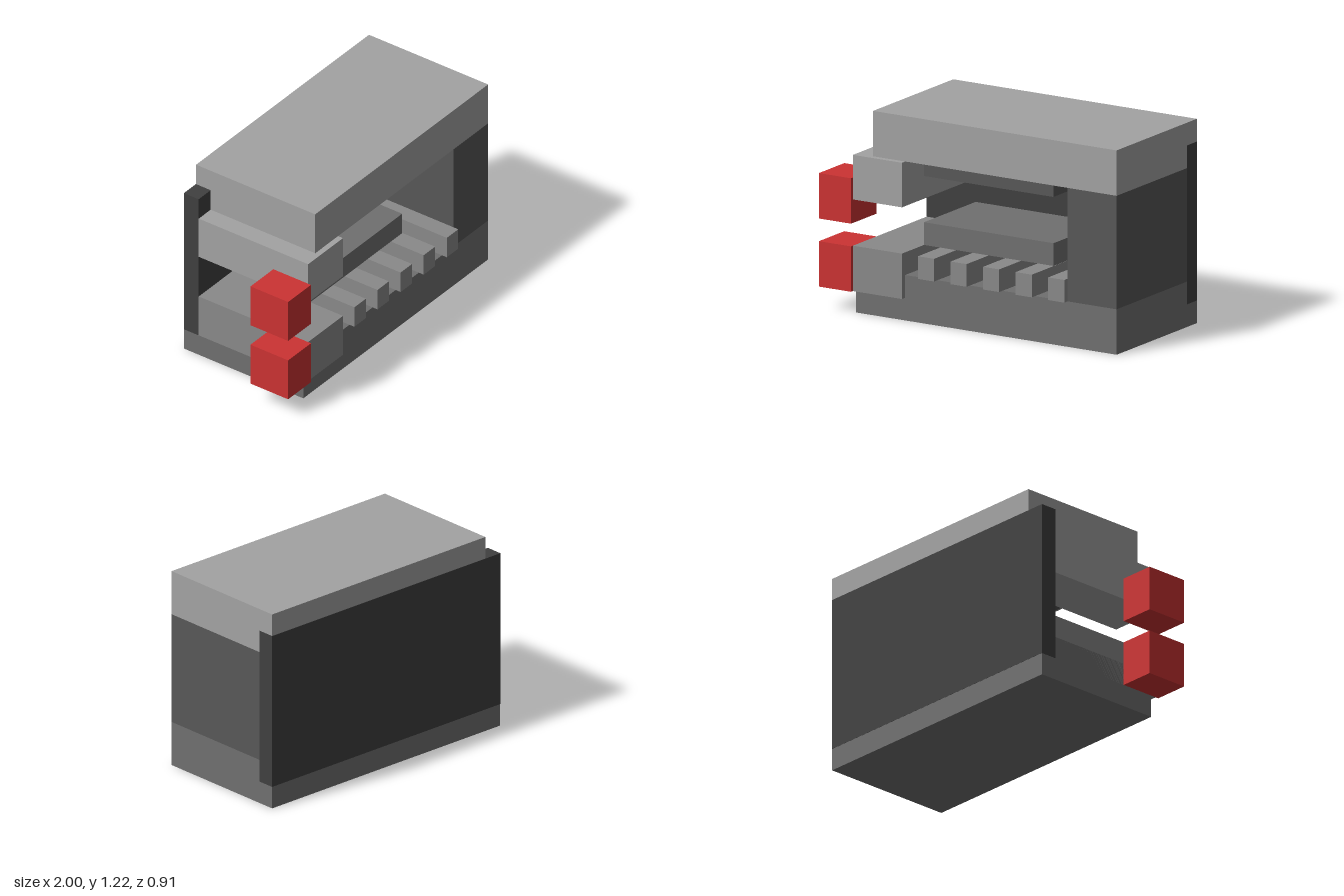
import * as THREE from 'three';

const BACK = -0.455;

export function createModel() {
  const model = new THREE.Group();
  const material = color => new THREE.MeshStandardMaterial({ color, flatShading: true });
  const charcoal = material(0x404040), dark = material(0x585858), medium = material(0x707070);
  const grey = material(0x8a8a8a), light = material(0xa3a3a3), red = material(0xcc3333);

  // Box spanning the given ranges on each axis
  function block(name, mat, [x0, x1], [y0, y1], [z0, z1]) {
    const mesh = new THREE.Mesh(new THREE.BoxGeometry(x1 - x0, y1 - y0, z1 - z0), mat);
    mesh.position.set((x0 + x1) / 2, (y0 + y1) / 2, (z0 + z1) / 2);
    mesh.name = name;
    model.add(mesh);
  }

  // Main housing
  block('base', medium, [-0.78, 1], [0, 0.27], [BACK, 0.4]);
  block('sideBlock', dark, [0.665, 1], [0.27, 0.945], [BACK, 0.4]);
  block('topSlab', light, [-0.665, 1], [0.945, 1.215], [BACK, 0.4]);

  // Back panel, a hair proud of the housing so the shared faces do not flicker
  block('backPanel', charcoal, [-0.781, 1.001], [0.135, 1.08], [BACK - 0.001, -0.35]);

  // Jaws on the open side, each with a red tip
  block('upperJaw', light, [-0.78, -0.445], [0.68, 0.945], [BACK, 0.435]);
  block('lowerJaw', grey, [-0.78, -0.445], [0.135, 0.405], [BACK, 0.435]);
  block('upperTip', red, [-1, -0.78], [0.54, 0.81], [0.185, 0.455]);
  block('lowerTip', red, [-1, -0.78], [0.135, 0.405], [0.185, 0.455]);

  // Recessed bars inside the opening
  block('upperBar', dark, [-0.445, 0.44], [0.815, 0.945], [BACK, 0.2]);
  block('lowerBar', medium, [-0.445, 0.44], [0.405, 0.54], [BACK, 0.2]);

  // Row of slats on the base
  for (let i = 0; i < 5; i++) {
    const x = -0.335 + i * 0.2225;
    block('slat' + (i + 1), grey, [x, x + 0.11], [0.27, 0.405], [BACK, 0.435]);
  }

  return model;
}
